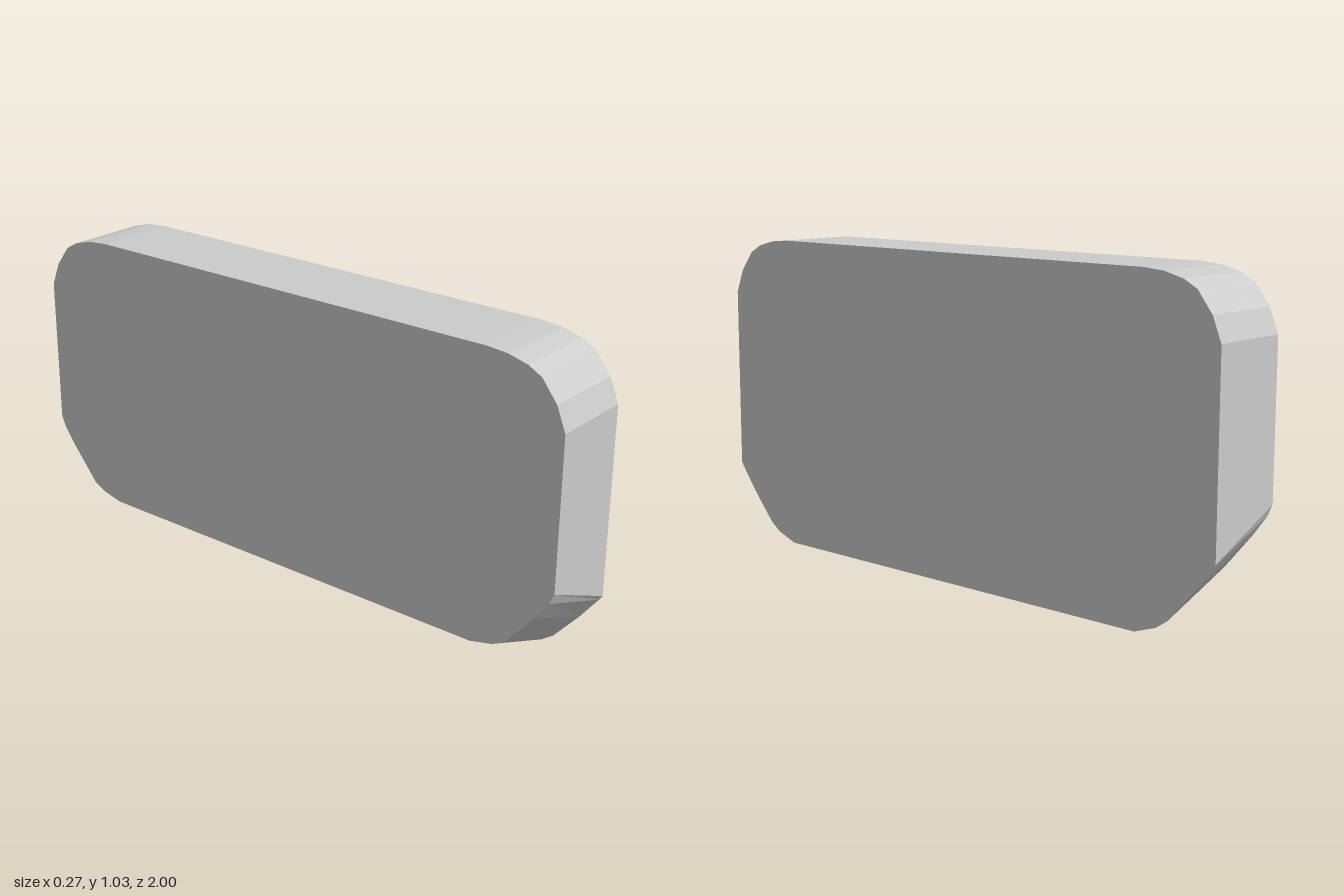
import * as THREE from 'three';

const HALF_WIDTH = 0.137;

// Rounded corners as [z, y] points; the front half is mirrored to the back
const topCorner = [[0.74, 1.033], [0.81, 1.027], [0.875, 1.01], [0.92, 0.985], [0.97, 0.92], [1, 0.845]];
const lowerCornerLeft = [[1, 0.245], [0.99, 0.23], [0.93, 0.152], [0.845, 0.055], [0.805, 0.027], [0.73, 0]];
const lowerCornerRight = [[1, 0.365], [0.985, 0.33], [0.94, 0.268], [0.845, 0.155], [0.805, 0.135], [0.73, 0.117]];

// Closed outline of one side face at a given x
function outline(x, lowerCorner) {
  const half = [...topCorner, ...lowerCorner];
  const mirrored = half.map(([z, y]) => [-z, y]).reverse();
  return [...half, ...mirrored].map(([z, y]) => new THREE.Vector3(x, y, z));
}

// Loft between the two outlines and cap both sides
function slabGeometry() {
  const left = outline(HALF_WIDTH, lowerCornerLeft);
  const right = outline(-HALF_WIDTH, lowerCornerRight);
  const leftMid = new THREE.Vector3(HALF_WIDTH, 0.55, 0);
  const rightMid = new THREE.Vector3(-HALF_WIDTH, 0.55, 0);
  const points = [];
  for (let i = 0; i < left.length; i++) {
    const j = (i + 1) % left.length;
    points.push(left[i], right[i], left[j], right[i], right[j], left[j]);
    points.push(leftMid, left[i], left[j]);
    points.push(rightMid, right[j], right[i]);
  }
  const geometry = new THREE.BufferGeometry().setFromPoints(points);
  geometry.computeVertexNormals();
  return geometry;
}

export function createModel() {
  const group = new THREE.Group();
  group.name = 'roundedSlab';
  const material = new THREE.MeshStandardMaterial({ color: 0xcccccc, flatShading: true });

  // Slab with a sloping underside
  const slab = new THREE.Mesh(slabGeometry(), material);
  slab.name = 'slab';
  group.add(slab);
  return group;
}
